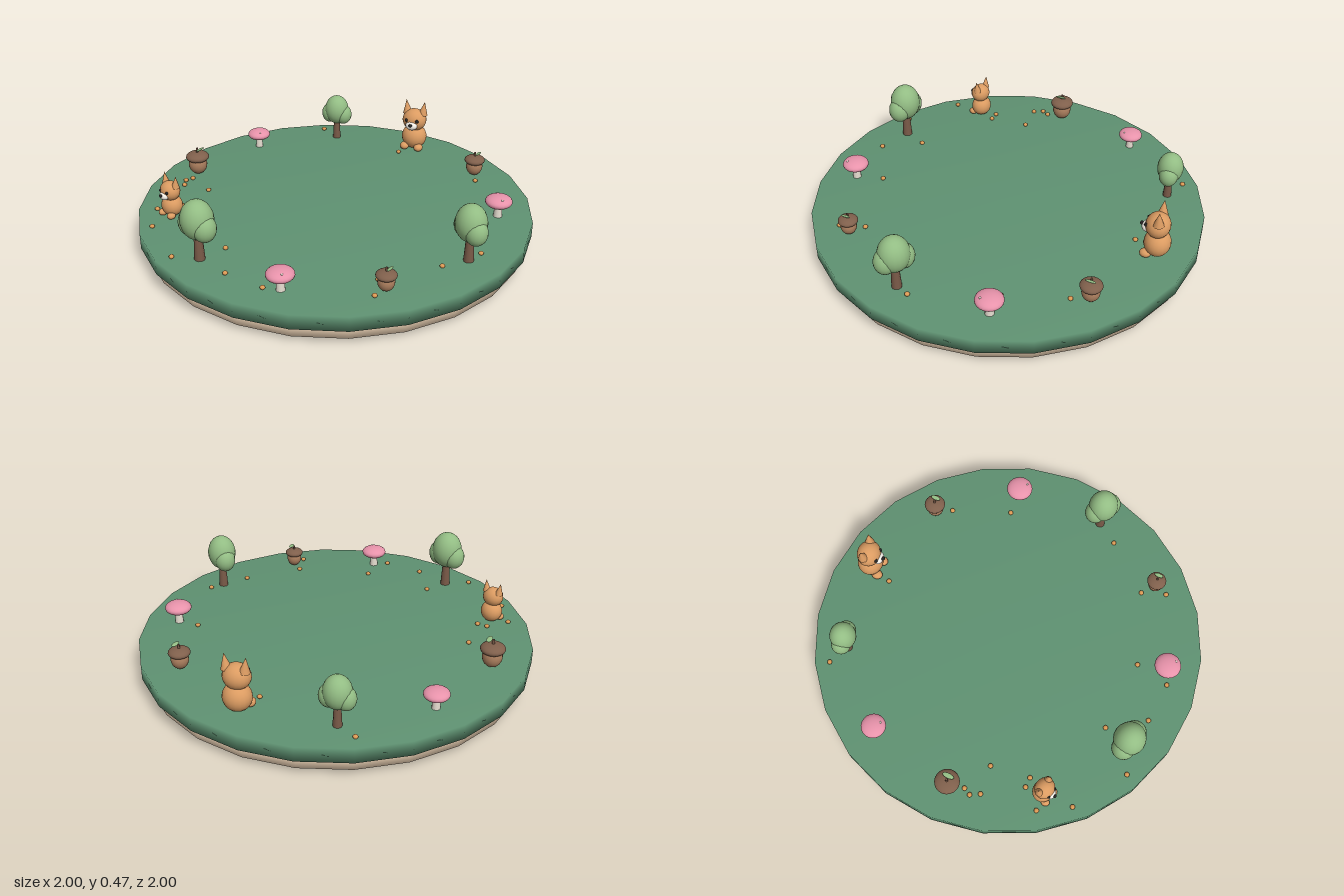
import * as THREE from 'three';

const mat = (color) => new THREE.MeshStandardMaterial({ color });
const M = {
  green: mat(0x5f9272), beige: mat(0xf0d6b8), bark: mat(0x7a5a48), leaf: mat(0x93bd84),
  cap: mat(0xe893ab), stem: mat(0xe6ddd0), nut: mat(0xa87c5c), nutCap: mat(0x80604c),
  fur: mat(0xdc9c62), white: mat(0xf5f0e8), dark: mat(0x222222), crumb: mat(0xdc9a55),
};
const GROUND = 0.16;

function add(parent, name, geo, material, x = 0, y = 0, z = 0, sx = 1, sy = sx, sz = sx) {
  const m = new THREE.Mesh(geo, material);
  m.name = name;
  m.position.set(x, y, z);
  m.scale.set(sx, sy, sz);
  parent.add(m);
  return m;
}

const ball = new THREE.SphereGeometry(1, 20, 14);
const lathe = (pts, n) => new THREE.LatheGeometry(pts.map(([x, y]) => new THREE.Vector2(x, y)), n);

// Trunk with a tall main crown and a lower lobe on each side
function tree() {
  const g = new THREE.Group();
  add(g, 'trunk', new THREE.CylinderGeometry(0.017, 0.025, 0.16, 10), M.bark, 0, 0.08);
  add(g, 'crown', ball, M.leaf, 0, 0.2, 0, 0.078, 0.095, 0.075);
  for (const s of [-1, 1]) add(g, 'crownLobe', ball, M.leaf, s * 0.045, 0.172, 0, 0.055, 0.065, 0.055);
  return g;
}

// Round nut, overhanging cap, short stalk and one leaf
function acorn() {
  const g = new THREE.Group();
  add(g, 'nut', ball, M.nut, 0, 0.057, 0, 0.05, 0.055, 0.05);
  add(g, 'nutCap', ball, M.nutCap, 0, 0.1, 0, 0.062, 0.028, 0.062);
  add(g, 'stalk', new THREE.CylinderGeometry(0.006, 0.008, 0.03, 8), M.bark, 0, 0.135);
  const leaf = add(g, 'leaf', ball, M.leaf, 0.02, 0.146, -0.005, 0.013, 0.005, 0.03);
  leaf.rotation.set(0, 0.2, 0.3);
  return g;
}

// Stem under a flattened cap with pale spots
function mushroom() {
  const g = new THREE.Group();
  add(g, 'stem', new THREE.CylinderGeometry(0.018, 0.022, 0.07, 12), M.stem, 0, 0.035);
  add(g, 'cap', ball, M.cap, 0, 0.082, 0, 0.067, 0.031, 0.067);
  add(g, 'spot', ball, M.stem, 0.034, 0.105, 0.023, 0.006, 0.004, 0.006);
  return g;
}

// Small sitting animal with pointed ears
function animal() {
  const g = new THREE.Group();
  add(g, 'body', ball, M.fur, 0, 0.055, 0, 0.056, 0.056, 0.052);
  add(g, 'head', ball, M.fur, 0, 0.137, 0.005, 0.054, 0.05, 0.048);
  add(g, 'muzzle', ball, M.white, 0, 0.122, 0.046, 0.027, 0.02, 0.02);
  add(g, 'nose', ball, M.dark, 0, 0.13, 0.066, 0.009, 0.007, 0.007);
  for (const s of [-1, 1]) {
    const ear = add(g, 'ear', new THREE.ConeGeometry(0.021, 0.062, 12), M.fur, s * 0.039, 0.194, -0.002);
    ear.rotation.z = -s * 0.12;
    add(g, 'eye', ball, M.dark, s * 0.024, 0.145, 0.045, 0.008);
    add(g, 'foot', ball, M.fur, s * 0.032, 0.017, 0.036, 0.02, 0.017, 0.023);
  }
  return g;
}

export function createModel() {
  const model = new THREE.Group();

  // Round stepped base and green top
  add(model, 'base', lathe([[0, 0], [0.92, 0], [0.92, 0.025], [0.968, 0.025], [0.968, 0.085], [0, 0.085]], 24), M.beige);
  add(model, 'greenTop', lathe([[0, 0.085], [1, 0.085], [1, GROUND], [0, GROUND]], 24), M.green);

  // Figures evenly spaced around the rim: [maker, name, scale, turn]
  const ring = [
    [tree, 'tree', 1, -0.4], [acorn, 'acorn', 0.8, 0], [mushroom, 'mushroom', 1, 0],
    [tree, 'tree', 1.05, 0], [animal, 'animal', 1, 0], [acorn, 'acorn', 1, 0],
    [mushroom, 'mushroom', 0.93, 0], [tree, 'tree', 0.88, 0.35], [animal, 'animal', 1.27, 0.32],
    [acorn, 'acorn', 0.88, 0], [mushroom, 'mushroom', 1.02, 0],
  ];
  ring.forEach(([make, name, scale, turn], i) => {
    const a = (i / ring.length) * Math.PI * 2;
    const g = make();
    g.name = name;
    g.position.set(0.825 * Math.cos(a), GROUND, 0.825 * Math.sin(a));
    g.rotation.y = turn;
    g.scale.setScalar(scale);
    model.add(g);
  });

  // Scattered crumbs
  const crumbs = [
    [-0.13, -0.69], [0.4, -0.68], [0.58, -0.42], [0.84, -0.08], [0.77, 0.13], [0.62, 0.41], [0.69, 0.52],
    [0.28, 0.62], [0.28, 0.8], [0.07, 0.83], [-0.09, 0.68], [-0.22, 0.9], [-0.51, 0.78], [-0.63, 0.65],
    [-0.57, 0.54], [-0.52, 0.53], [-0.59, 0.34], [-0.73, 0.385], [-0.765, 0.345], [-0.755, 0.305], [-0.66, -0.645],
  ];
  const crumbGeo = new THREE.SphereGeometry(1, 10, 8);
  for (const [x, z] of crumbs) add(model, 'crumb', crumbGeo, M.crumb, x, GROUND + 0.009, z, 0.013, 0.01, 0.013);

  return model;
}
